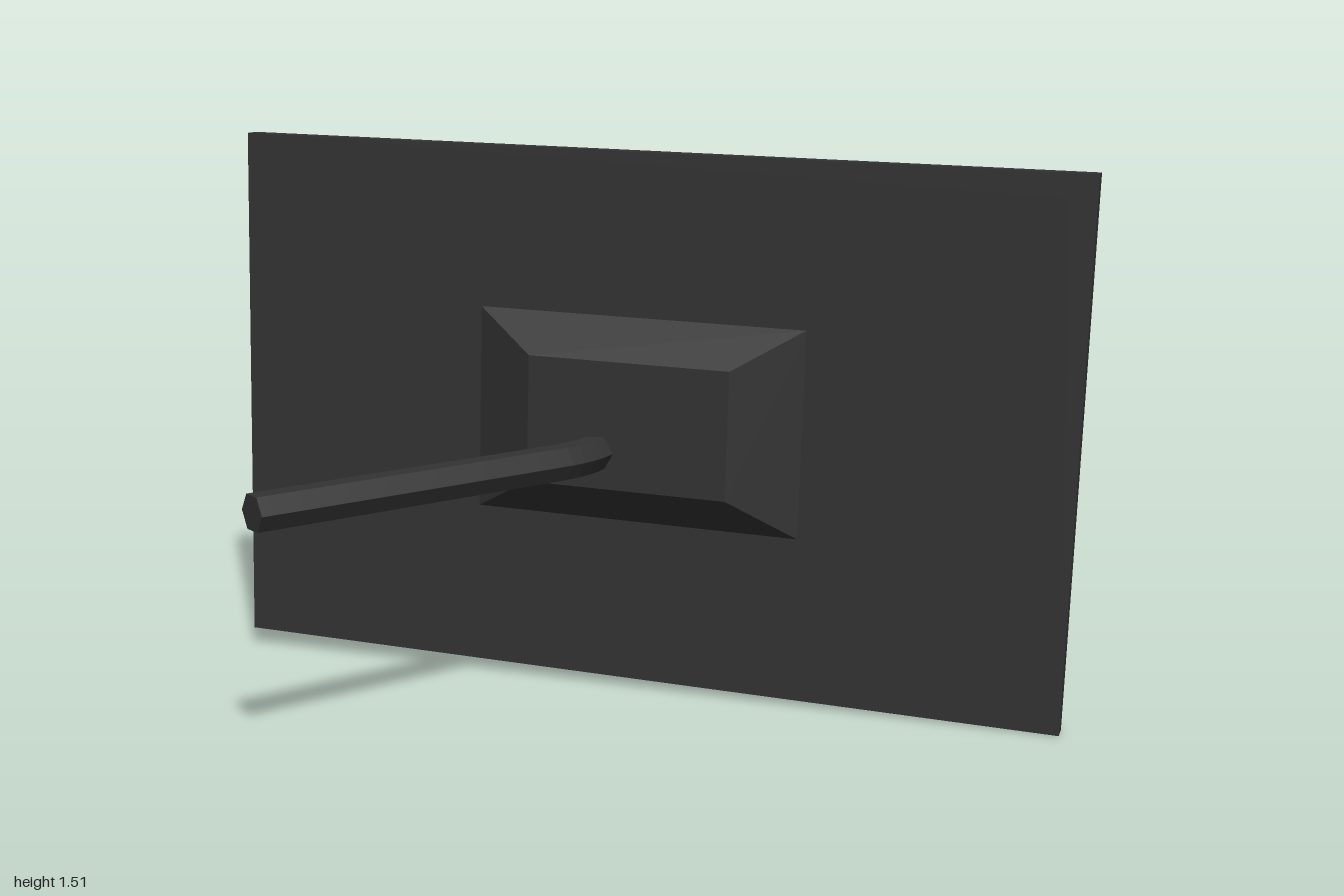
import * as THREE from 'three';

const W = 2.35, H = 1.46, T = 0.05;          // panel size
const SIDE = 0.068, TOP = 0.064, BOTTOM = 0.125; // bezel widths
const RECESS = 0.03;

const charcoal = new THREE.MeshStandardMaterial({ color: 0x333333 });
charcoal.name = 'charcoal plastic';

function addMesh(parent, name, geometry) {
  const mesh = new THREE.Mesh(geometry, charcoal);
  mesh.name = name;
  parent.add(mesh);
  return mesh;
}

function rectangle(Type, x0, y0, x1, y1) {
  return new Type([[x0, y0], [x1, y0], [x1, y1], [x0, y1]].map(p => new THREE.Vector2(...p)));
}

// Box whose rear face is narrowed to form a truncated pyramid
function taperedBox(w, h, d, rearW, rearH) {
  const g = new THREE.BoxGeometry(w, h, d);
  const p = g.attributes.position;
  for (let i = 0; i < p.count; i++) {
    if (p.getZ(i) < 0) p.setXY(i, p.getX(i) * rearW / w, p.getY(i) * rearH / h);
  }
  g.computeVertexNormals();
  return g;
}

export function createModel() {
  const model = new THREE.Group();
  model.name = 'wallTelevision';

  // Television, turned on its mount and slightly rolled; screen faces local +z
  const television = new THREE.Group();
  television.name = 'television';
  television.position.set(0.205, 0.76, -0.003);
  television.rotation.set(0, 2.278, 0.021, 'YXZ');
  model.add(television);

  // Bezel frame around the recessed screen
  const x = W / 2 - SIDE, y0 = -H / 2 + BOTTOM, y1 = H / 2 - TOP;
  const outline = rectangle(THREE.Shape, -W / 2, -H / 2, W / 2, H / 2);
  outline.holes.push(rectangle(THREE.Path, -x, y0, x, y1));
  const bezel = addMesh(television, 'bezel',
    new THREE.ExtrudeGeometry(outline, { depth: T, bevelEnabled: false }));
  bezel.position.z = -T / 2;

  // Screen and back panel filling the frame
  const screen = addMesh(television, 'screen', new THREE.BoxGeometry(2 * x, y1 - y0, T - RECESS));
  screen.position.set(0, (y0 + y1) / 2, -RECESS / 2);

  // Tapered housing on the back
  const housing = addMesh(television, 'rearHousing', taperedBox(0.915, 0.565, 0.097, 0.56, 0.35));
  housing.position.set(0, 0.004, -T / 2 - 0.0485);

  // Six-sided wall arm that bends to meet the housing squarely
  const point = (px, pz) => new THREE.Vector3(px, 0.69, pz);
  const path = new THREE.CurvePath();
  path.add(new THREE.LineCurve3(point(-0.988, 0.178), point(-0.1, 0.071)));
  path.add(new THREE.QuadraticBezierCurve3(point(-0.1, 0.071), point(0.005, 0.058), point(0.085, -0.01)));
  const hexagon = new THREE.Shape(Array.from({ length: 6 }, (_, i) => {
    const a = Math.PI / 6 + i * Math.PI / 3;
    return new THREE.Vector2(0.05 * Math.cos(a), 0.05 * Math.sin(a));
  }));
  addMesh(model, 'wallArm',
    new THREE.ExtrudeGeometry(hexagon, { steps: 30, extrudePath: path, bevelEnabled: false }));

  return model;
}
